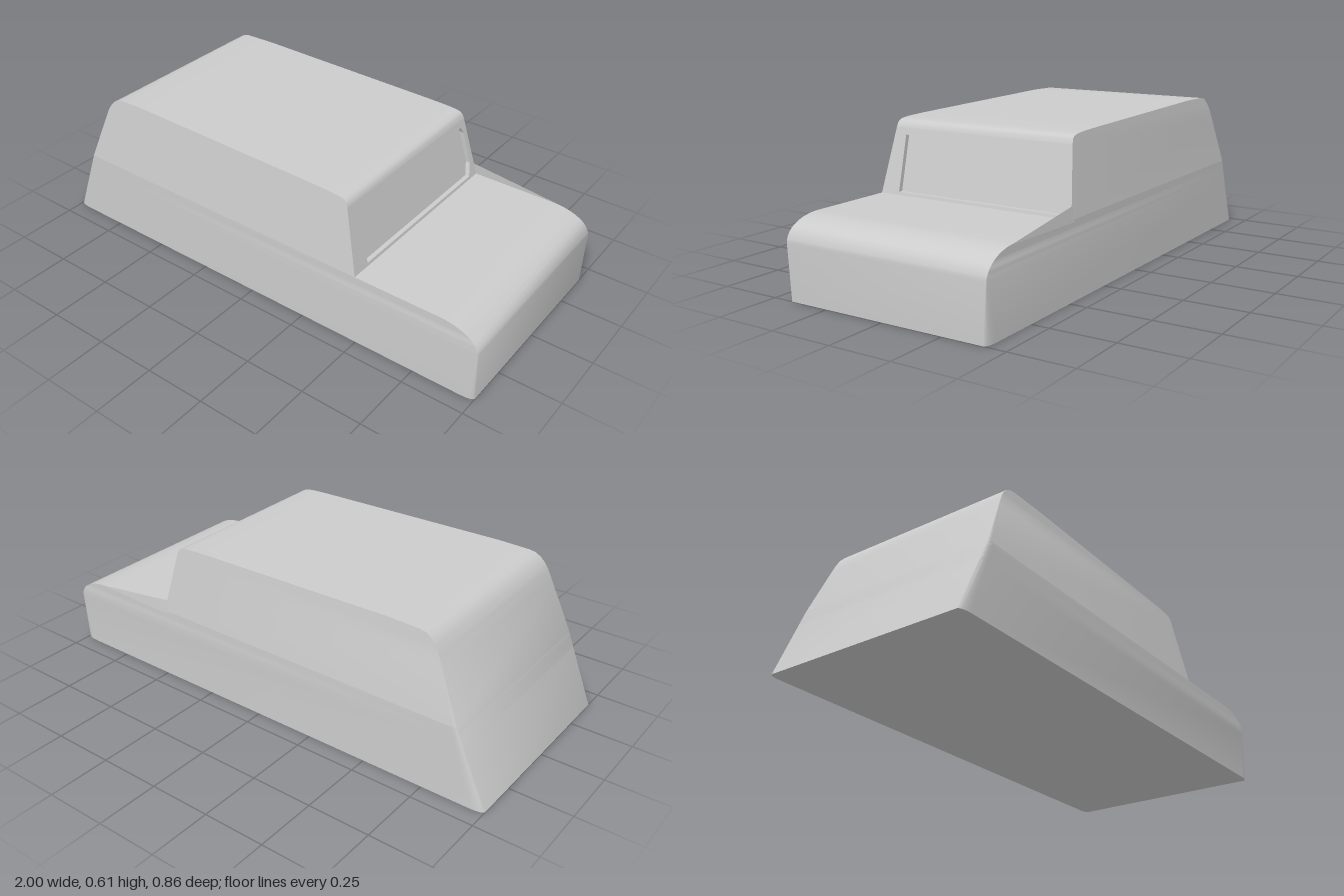
import * as THREE from 'three';
import { toCreasedNormals } from 'three/addons/utils/BufferGeometryUtils.js';

const WAIST = 0.3;
const ARC = 4; // segments per rounded corner

// half width of the body at height y: upright below the waist, leaning in above
const halfWidth = (y) => 0.429 - 0.131 * Math.max(0, y - WAIST);
const tailX = (y) => -1 + 0.4235 * y;
const screenX = (y) => 0.49 - 0.24 * (y - WAIST);

// closed ring through a tail point and a nose point, with tapering corners
function ring([tx, ty], [nx, ny]) {
  const tailRound = Math.max(0, 1 - ty / 0.53);
  const noseRound = Math.max(0, 1 - ny / 0.26);
  const points = [];
  [[1, 1], [1, -1], [-1, -1], [-1, 1]].forEach(([sx, sz], k) => {
    const round = sx > 0 ? noseRound : tailRound;
    const rx = 0.05 * round, rz = 0.016 * round;
    for (let i = 0; i <= ARC; i++) {
      const a = (k - 1 + i / ARC) * Math.PI / 2;
      const x = (sx > 0 ? nx : tx) - sx * rx + rx * Math.cos(a);
      const y = ty + (ny - ty) * (x - tx) / (nx - tx);
      points.push(new THREE.Vector3(x, y, sz * (halfWidth(y) - rz) - rz * Math.sin(a)));
    }
  });
  return points;
}

// skin over rings from bottom to top; openRow leaves the nose side open there
function loft(rows, { bottom = false, openRow = -1 } = {}) {
  const rings = rows.map(([tail, nose]) => ring(tail, nose));
  const n = rings[0].length, pos = [];
  const tri = (a, b, c) => {
    if (new THREE.Triangle(a, b, c).getArea() < 1e-8) return;
    for (const p of [a, b, c]) pos.push(p.x, p.y, p.z);
  };
  const middle = (r) => r.reduce((s, p) => s.add(p), new THREE.Vector3()).divideScalar(n);
  const first = rings[0], last = rings[rings.length - 1];
  for (let j = 0; j < n; j++) {
    const k = (j + 1) % n;
    for (let i = 0; i < rings.length - 1; i++) {
      if (i === openRow && j === ARC) continue;
      const lo = rings[i], hi = rings[i + 1];
      tri(lo[j], lo[k], hi[k]);
      tri(lo[j], hi[k], hi[j]);
    }
    tri(middle(last), last[j], last[k]);
    if (bottom) tri(middle(first), first[k], first[j]);
  }
  const g = new THREE.BufferGeometry();
  g.setAttribute('position', new THREE.Float32BufferAttribute(pos, 3));
  return toCreasedNormals(g, 0.6);
}

// flat shape drawn in (-z, y), laid on the windscreen slope
function onScreen(shape, depth = 0) {
  const g = new THREE.ShapeGeometry(shape);
  const p = g.attributes.position;
  for (let i = 0; i < p.count; i++) {
    p.setXYZ(i, screenX(p.getY(i)) - depth, p.getY(i), -p.getX(i));
  }
  g.computeVertexNormals();
  return g;
}

const outline = (pts) => pts.map(([x, y]) => new THREE.Vector2(x, y));

export function createModel() {
  const group = new THREE.Group();
  const grey = new THREE.MeshStandardMaterial({ color: 0xcccccc });
  const thin = new THREE.MeshStandardMaterial({ color: 0xcccccc, side: THREE.DoubleSide });
  const add = (name, geometry, material = grey) => {
    const mesh = new THREE.Mesh(geometry, material);
    mesh.name = name;
    group.add(mesh);
  };

  // lower body, with the bonnet rolling over into the nose
  const lower = [[[tailX(0), 0], [1, 0]]];
  for (let i = 0; i <= 10; i++) {
    const a = i / 10 * Math.PI / 2;
    const y = 0.21 + 0.09 * Math.sin(a);
    lower.push([[tailX(y), y], [0.84 + 0.16 * Math.cos(a), y]]);
  }
  add('lowerBody', loft(lower, { bottom: true }));

  // cabin with rounded roof edges front and back
  add('cabin', loft([
    [[tailX(WAIST), WAIST], [screenX(WAIST), WAIST]],
    [[-0.79, 0.496], [screenX(0.555), 0.555]],
    [[-0.773, 0.535], [0.423, 0.572]],
    [[-0.757, 0.563], [0.413, 0.581]],
    [[-0.738, 0.584], [0.397, 0.586]],
    [[-0.717, 0.597], [0.37, 0.589]],
    [[-0.69, 0.602], [0.33, 0.591]],
    [[-0.56, 0.605], [0.25, 0.593]],
  ], { openRow: 0 }));

  // windscreen surround with its opening
  const top = 0.555, wl = halfWidth(WAIST), wt = halfWidth(top);
  const opening = [[-0.345, 0.312], [0.375, 0.312], [0.393, 0.365], [0.38, 0.5], [0.363, 0.528], [-0.345, 0.528]];
  const frame = new THREE.Shape(outline([[-wl, WAIST], [wl, WAIST], [wt, top], [-wt, top]]));
  frame.holes.push(new THREE.Path(outline(opening)));
  add('windscreenFrame', onScreen(frame), thin);

  // recessed pane and the thin walls around it
  const depth = 0.018;
  add('windscreen', onScreen(new THREE.Shape(outline(opening)), depth), thin);
  const walls = [];
  opening.forEach(([u, v], i) => {
    const [s, t] = opening[(i + 1) % opening.length];
    const a = [screenX(v), v, -u], b = [screenX(t), t, -s];
    const c = [b[0] - depth, t, -s], d = [a[0] - depth, v, -u];
    walls.push(...a, ...b, ...c, ...a, ...c, ...d);
  });
  const reveal = new THREE.BufferGeometry();
  reveal.setAttribute('position', new THREE.Float32BufferAttribute(walls, 3));
  reveal.computeVertexNormals();
  add('windscreenReveal', reveal, thin);

  // thin raised edge along the right-hand side of the bonnet
  const fin = new THREE.ShapeGeometry(new THREE.Shape(outline([[0.47, 0.29], [0.87, 0.298], [0.478, 0.347]])));
  const p = fin.attributes.position;
  for (let i = 0; i < p.count; i++) p.setZ(i, -halfWidth(p.getY(i)) - 0.001);
  fin.computeVertexNormals();
  add('bonnetEdge', fin, thin);

  return group;
}
